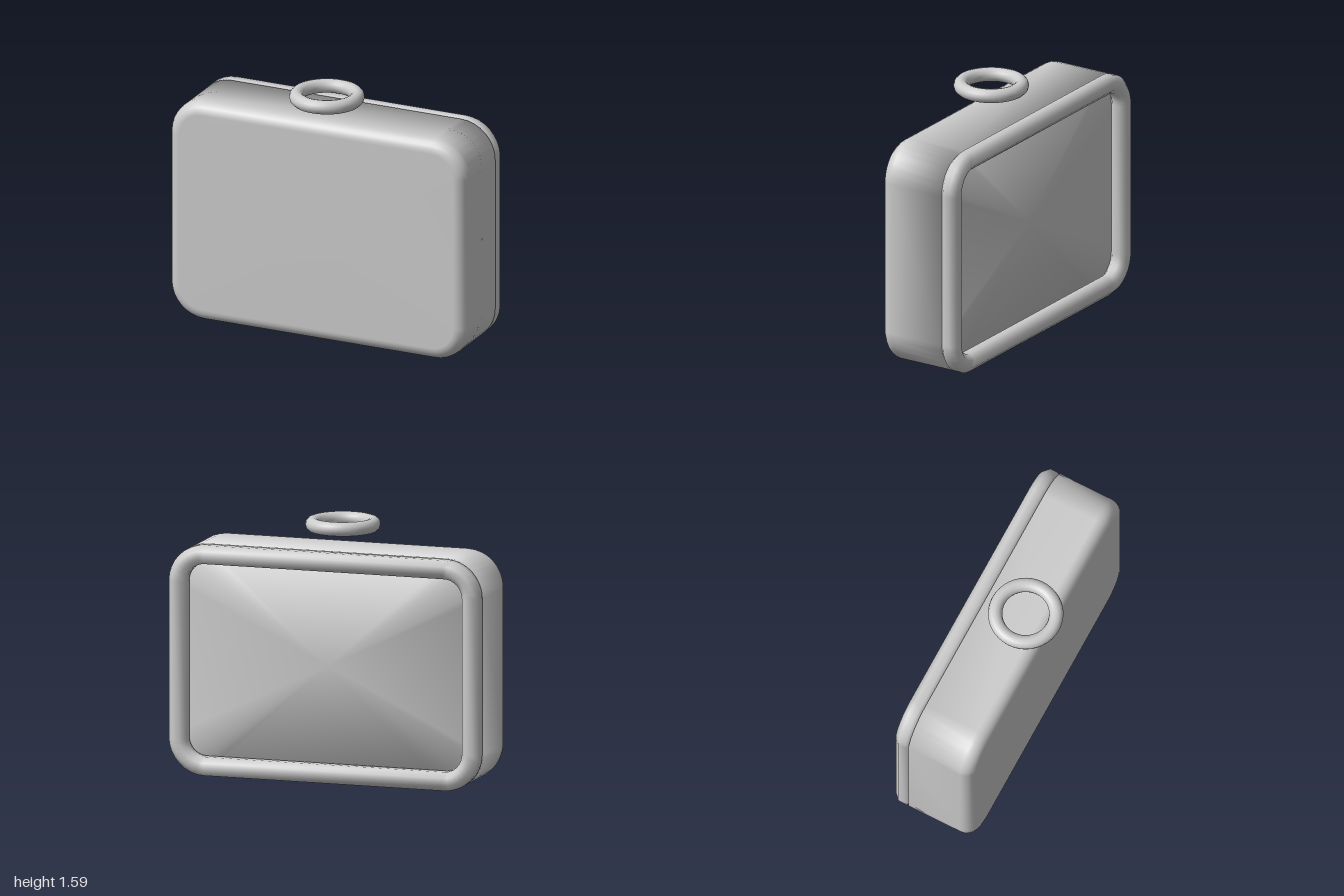
import * as THREE from 'three';

const HALF_W = 1, HALF_H = 0.713, CORNER = 0.23, CENTER_Y = 0.715;

// Rounded-rectangle outline, counter-clockwise, shrunk by an inset
function outline(inset, steps = 8) {
  const points = [];
  const r = Math.max(CORNER - inset, 0.02);
  const cx = HALF_W - inset - r, cy = HALF_H - inset - r;
  [[1, 1], [-1, 1], [-1, -1], [1, -1]].forEach(([sx, sy], q) => {
    for (let i = 0; i <= steps; i++) {
      const a = (q + i / steps) * Math.PI / 2;
      points.push([sx * cx + r * Math.cos(a), sy * cy + r * Math.sin(a)]);
    }
  });
  return points;
}

// Skin over [inset, z] sections running front to back; either capped or looped
function loft(sections, looped) {
  const positions = [], index = [];
  const n = outline(0).length, count = sections.length;
  for (const [inset, z] of sections) {
    for (const [x, y] of outline(inset)) positions.push(x, y, z);
  }
  for (let s = 0; s < (looped ? count : count - 1); s++) {
    const front = s * n, back = ((s + 1) % count) * n;
    for (let j = 0; j < n; j++) {
      const k = (j + 1) % n;
      index.push(front + j, back + j, front + k, front + k, back + j, back + k);
    }
  }
  if (!looped) {
    const last = (count - 1) * n, hub = count * n;
    positions.push(0, 0, sections[0][1], 0, 0, sections[count - 1][1]);
    for (let j = 0; j < n; j++) {
      const k = (j + 1) % n;
      index.push(hub, j, k, hub + 1, last + k, last + j);
    }
  }
  const geometry = new THREE.BufferGeometry();
  geometry.setAttribute('position', new THREE.Float32BufferAttribute(positions, 3));
  geometry.setIndex(index);
  geometry.computeVertexNormals();
  return geometry;
}

export function createModel() {
  const group = new THREE.Group();
  const grey = new THREE.MeshStandardMaterial({ color: 0xcccccc });
  grey.name = 'light grey';

  const add = (name, geometry, x, y, z) => {
    const mesh = new THREE.Mesh(geometry, grey);
    mesh.name = name;
    mesh.position.set(x, y, z);
    group.add(mesh);
    return mesh;
  };

  // Case body: rounded front edge, straight walls, flat back panel
  const bevel = 0.08, bodySections = [];
  for (let i = 0; i <= 5; i++) {
    const a = i / 5 * Math.PI / 2;
    bodySections.push([bevel * (1 - Math.sin(a)), 0.15 + bevel * Math.cos(a)]);
  }
  bodySections.push([0, -0.205]);
  add('caseBody', loft(bodySections, false), 0, CENTER_Y, 0);

  // Eight-sided tube framing the back
  const tube = 0.058, rimSections = [];
  for (let i = 0; i < 8; i++) {
    const a = (i - 0.5) * Math.PI / 4, r = tube / Math.cos(Math.PI / 8);
    rimSections.push([tube - r * Math.cos(a), -0.251 - r * Math.sin(a)]);
  }
  add('backRim', loft(rimSections, true), 0, CENTER_Y, 0);

  // Ring floating above the case, lying flat
  const ring = add('topRing', new THREE.TorusGeometry(0.186, 0.044, 12, 40), 0, 1.546, 0.075);
  ring.rotation.x = Math.PI / 2;

  return group;
}
